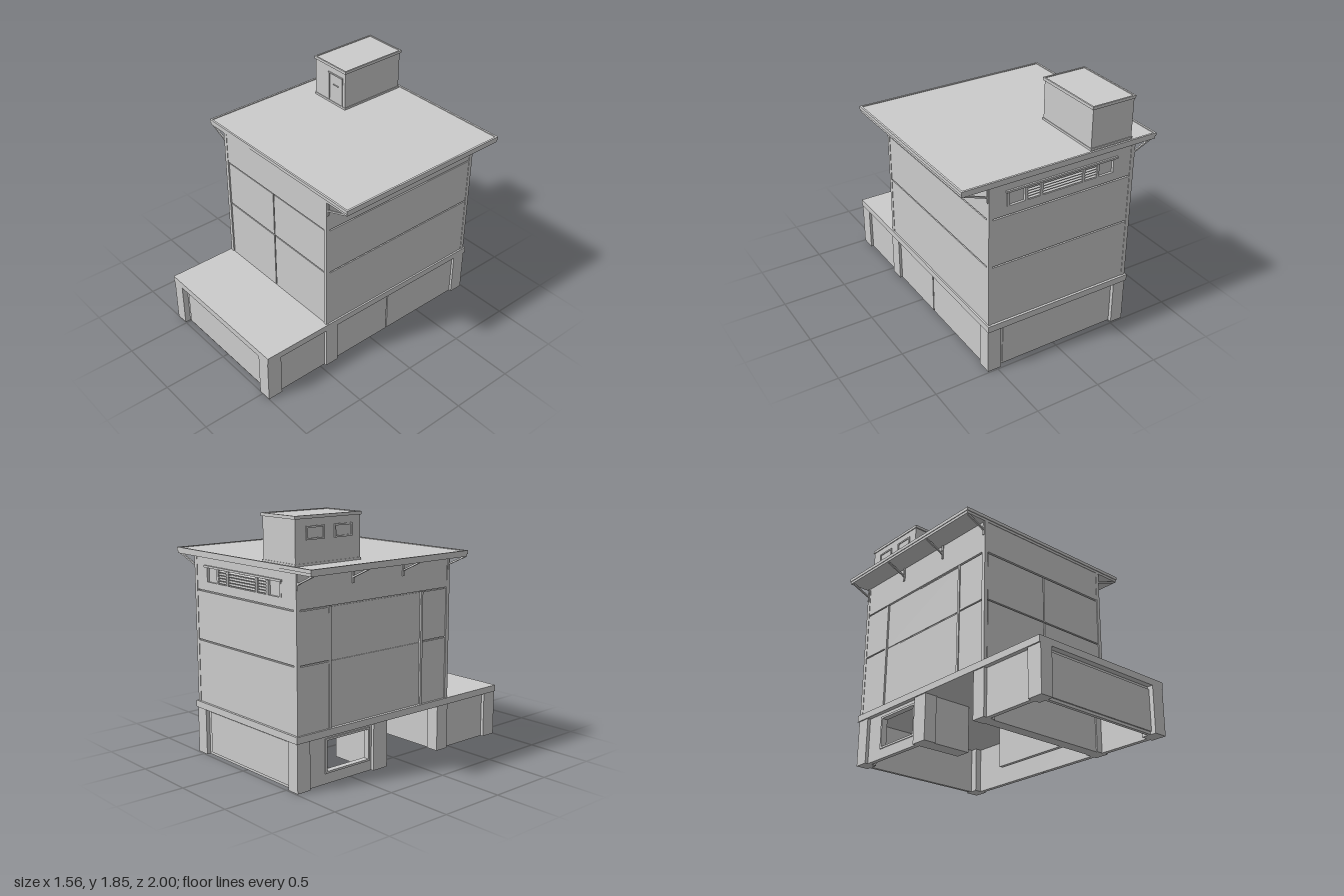
import * as THREE from 'three';

const grey = new THREE.MeshStandardMaterial({ color: 0xcccccc, flatShading: true });

export function createModel() {
  const model = new THREE.Group();

  // Box given by its bounds on each axis
  function box(name, x0, x1, y0, y1, z0, z1, parent = model) {
    const mesh = new THREE.Mesh(new THREE.BoxGeometry(x1 - x0, y1 - y0, z1 - z0), grey);
    mesh.position.set((x0 + x1) / 2, (y0 + y1) / 2, (z0 + z1) / 2);
    mesh.name = name;
    parent.add(mesh);
    return mesh;
  }
  function group(name) {
    const g = new THREE.Group();
    g.name = name;
    model.add(g);
    return g;
  }
  // Four bars around a rectangle in the z-y plane
  function frameZY(name, x0, x1, y0, y1, z0, z1, t, parent) {
    box(name, x0, x1, y0, y0 + t, z0, z1, parent);
    box(name, x0, x1, y1 - t, y1, z0, z1, parent);
    box(name, x0, x1, y0 + t, y1 - t, z0, z0 + t, parent);
    box(name, x0, x1, y0 + t, y1 - t, z1 - t, z1, parent);
  }
  // Flat top with a raised rim
  function rimmedTop(name, x0, x1, y0, y1, z0, z1, t, h) {
    const g = group(name);
    box(name + 'Slab', x0, x1, y0, y1 - h, z0, z1, g);
    box(name + 'Rim', x0, x0 + t, y1 - h, y1, z0, z1, g);
    box(name + 'Rim', x1 - t, x1, y1 - h, y1, z0, z1, g);
    box(name + 'Rim', x0 + t, x1 - t, y1 - h, y1, z0, z0 + t, g);
    box(name + 'Rim', x0 + t, x1 - t, y1 - h, y1, z1 - t, z1, g);
  }

  // ---- Ground floor: open below, on piers ----
  const ground = group('groundFloor');
  box('floorSlab', -0.62, 0.58, 0.35, 0.4, -1, 1, ground);
  const piers = [[-0.99, -0.88], [0.35, 0.46], [0.88, 1]];
  for (const [z0, z1] of piers) {
    box('pier', -0.61, -0.51, 0, 0.35, z0, z1, ground);
    box('pier', 0.47, 0.575, 0, 0.35, z0, z1, ground);
  }
  box('pier', -0.61, -0.51, 0, 0.35, -0.3, -0.17, ground);
  // Garage door in the front and recessed wall in the back
  box('garageDoorSurround', -0.51, 0.47, 0, 0.35, 0.93, 0.955, ground);
  box('garageDoor', -0.48, 0.47, 0.02, 0.33, 0.955, 0.965, ground);
  box('backWall', -0.51, 0.47, 0, 0.35, -0.96, -0.935, ground);
  box('backWallPanel', -0.48, 0.44, 0.02, 0.33, -0.966, -0.96, ground);
  // Side panels between the piers
  for (const [z0, z1] of [[0.46, 0.88], [-0.165, 0.35], [-0.88, -0.175]])
    box('sidePanel', 0.52, 0.555, 0, 0.35, z0, z1, ground);
  box('sidePanelJoint', 0.52, 0.54, 0, 0.35, -0.175, -0.165, ground);
  box('sidePanel', -0.585, -0.55, 0, 0.35, 0.46, 0.88, ground);
  // Wall with a window opening
  box('windowWall', -0.585, -0.55, 0, 0.08, -0.88, -0.3, ground);
  box('windowWall', -0.585, -0.55, 0.32, 0.35, -0.88, -0.3, ground);
  box('windowWall', -0.585, -0.55, 0.08, 0.32, -0.88, -0.72, ground);
  box('windowWall', -0.585, -0.55, 0.08, 0.32, -0.33, -0.3, ground);
  frameZY('windowFrame', -0.592, -0.545, 0.075, 0.325, -0.73, -0.32, 0.015, ground);
  // Inner partitions
  box('garageRearWall', -0.51, 0.47, 0, 0.35, 0.36, 0.45, ground);
  box('entrancePartition', -0.51, -0.2, 0, 0.35, -0.3, -0.18, ground);
  box('innerPartition', 0.19, 0.22, 0, 0.35, -0.28, 0.36, ground);

  // ---- Upper floors: core, corner posts and cladding with open joints ----
  const X0 = -0.61, X1 = 0.57, Z0 = -0.985, Z1 = 0.455, D = 0.02, J = 0.005;
  const upper = group('upperFloors');
  box('core', X0 + D, X1 - D, 0.4, 1.49, Z0 + D, Z1 - D, upper);
  for (const x of [X0, X1 - 0.03])
    for (const z of [Z0, Z1 - 0.03])
      box('cornerPost', x, x + 0.03, 0.4, 1.49, z, z + 0.03, upper);
  const rows = [[0.4, 0.87 - J], [0.87 + J, 1.24 - J], [1.24 + J, 1.49]];
  const xa = X0 + 0.038, xb = X1 - 0.03, za = Z0 + 0.03, zb = Z1 - 0.03, skin = 0.006;
  rows.forEach(([y0, y1], i) => {
    // Right side
    box('rightCladding', X1 - D, X1 - skin / 2, y0, y1, za, zb, upper);
    // Front, two columns below a full band
    if (i < 2) {
      box('frontCladding', xa, -0.03 - J, y0, y1, Z1 - D, Z1 - skin, upper);
      box('frontCladding', -0.03 + J, xb, y0, y1, Z1 - D, Z1 - skin, upper);
      box('backCladding', xa - 0.008, xb, y0, y1, Z0 + skin / 2, Z0 + D, upper);
      // Left side, with a wide recessed bay
      box('leftCladding', X0 + 0.003, X0 + D, y0, y1, za, -0.71, upper);
      box('leftBay', X0 + 0.014, X0 + D, y0, y1, -0.69, 0.16, upper);
      box('leftCladding', X0 + 0.008, X0 + D, y0, y1, 0.18, zb, upper);
    } else {
      box('frontCladding', xa - 0.008, xb, y0, y1, Z1 - D, Z1 - skin / 2, upper);
      box('leftCladding', X0 + 0.003, X0 + D, y0, y1, za, zb, upper);
      // Back band split around the vent strip
      box('backCladding', xa - 0.008, xb, y0, 1.31, Z0 + skin / 2, Z0 + D, upper);
      box('backCladding', xa - 0.008, xb, 1.42, y1, Z0 + skin / 2, Z0 + D, upper);
      box('backCladding', xa - 0.008, -0.45, 1.31, 1.42, Z0 + skin / 2, Z0 + D, upper);
      box('backCladding', 0.43, xb, 1.31, 1.42, Z0 + skin / 2, Z0 + D, upper);
    }
  });
  for (const z of [-0.7, 0.17])
    box('leftBayPost', X0, X0 + D, 0.4, 1.24, z - 0.01, z + 0.01, upper);

  // ---- Vent strip on the back ----
  const vent = group('ventStrip');
  box('ventLedge', -0.46, 0.44, 1.415, 1.43, Z0 - 0.01, Z0 + D, vent);
  for (const x of [-0.44, -0.3, -0.18, 0.16, 0.28, 0.42])
    box('ventMullion', x - 0.01, x + 0.01, 1.31, 1.415, Z0, Z0 + D, vent);
  for (const [a, b] of [[-0.29, -0.19], [-0.17, 0.15], [0.17, 0.27]])
    for (let i = 0; i < 5; i++) {
      const slat = box('louver', a, b, 1.318 + i * 0.02, 1.324 + i * 0.02, Z0 + 0.002, Z0 + D, vent);
      slat.rotation.x = -0.4;
    }

  // ---- Main roof ----
  box('roofSoffit', -0.775, 0.775, 1.485, 1.505, -0.995, 0.455);
  rimmedTop('roof', -0.78, 0.78, 1.505, 1.53, -1, 0.46, 0.015, 0.006);

  // ---- Roof brackets on both sides ----
  const brackets = group('roofBrackets');
  for (const side of [-1, 1]) {
    const wall = side > 0 ? X1 : X0, tip = side * 0.765;
    for (const z of [0.443, -0.025, -0.497, -0.973]) {
      box('bracketPost', wall - 0.006, wall + 0.006, 1.375, 1.49, z - 0.007, z + 0.007, brackets);
      const from = new THREE.Vector2(wall, 1.415), to = new THREE.Vector2(tip, 1.485);
      const d = to.clone().sub(from);
      const strut = new THREE.Mesh(new THREE.BoxGeometry(d.length(), 0.012, 0.012), grey);
      strut.position.set((from.x + to.x) / 2, (from.y + to.y) / 2, z);
      strut.rotation.z = Math.atan2(d.y, d.x);
      strut.name = 'bracketStrut';
      brackets.add(strut);
    }
  }

  // ---- Rooftop stair house ----
  const house = group('stairHouse');
  box('stairHousePlinth', -0.588, -0.237, 1.52, 1.54, -0.973, -0.407, house);
  box('stairHouseWalls', -0.583, -0.242, 1.53, 1.83, -0.968, -0.412, house);
  rimmedTop('stairHouseCap', -0.59, -0.232, 1.828, 1.85, -0.977, -0.403, 0.012, 0.006);
  // Door with frame, handle bar and small lintel
  box('doorFrame', -0.43, -0.42, 1.54, 1.77, -0.412, -0.406, house);
  box('doorFrame', -0.28, -0.27, 1.54, 1.77, -0.412, -0.406, house);
  box('doorFrame', -0.43, -0.27, 1.77, 1.78, -0.412, -0.404, house);
  box('doorBar', -0.375, -0.32, 1.686, 1.692, -0.412, -0.405, house);
  // Two windows on the left side
  for (const z of [-0.88, -0.64])
    frameZY('stairHouseWindow', -0.59, -0.58, 1.69, 1.78, z, z + 0.155, 0.012, house);

  return model;
}
